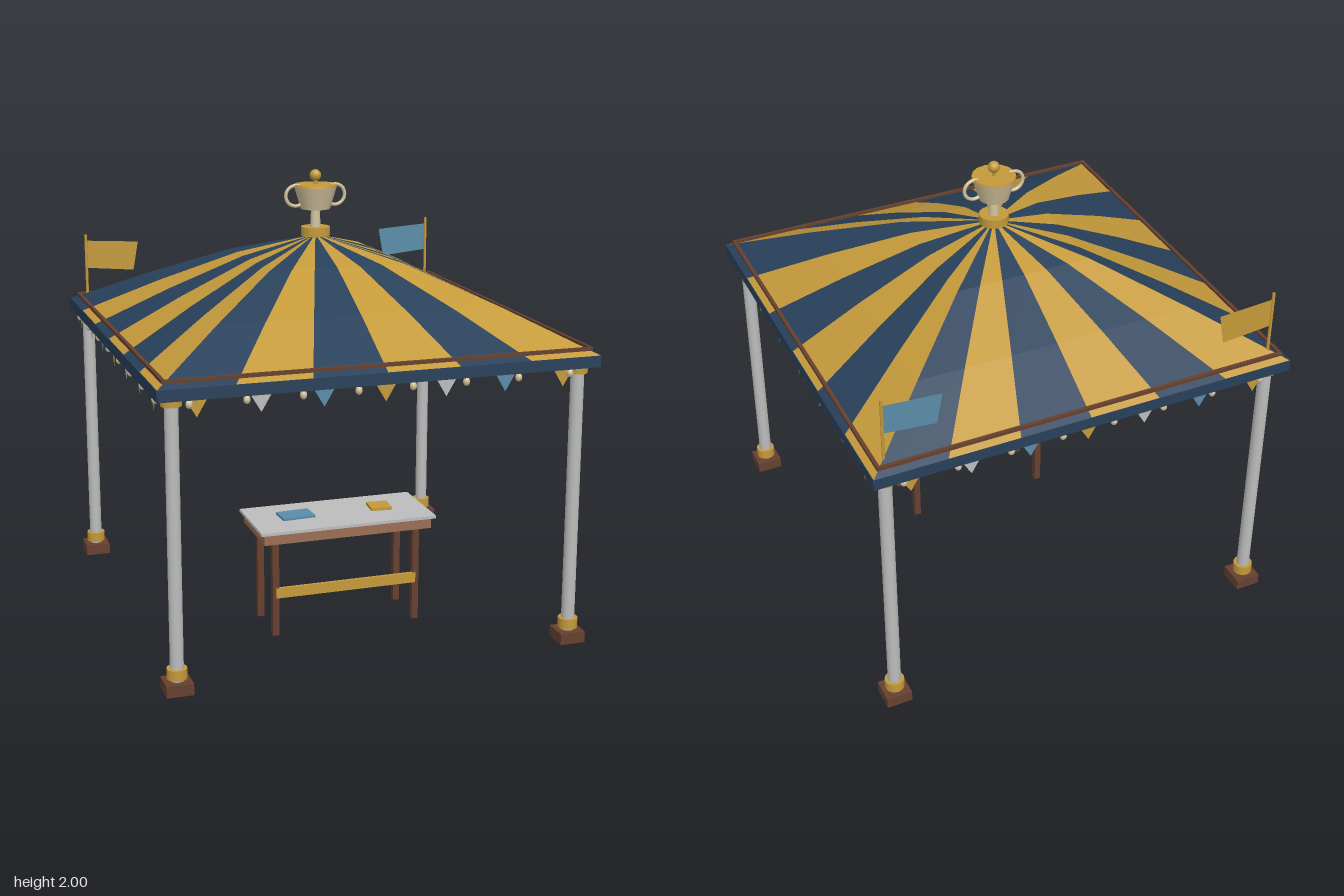
import * as THREE from 'three';

export function createModel() {
  const model = new THREE.Group();
  const mat = (name, color, side = THREE.FrontSide) => {
    const m = new THREE.MeshStandardMaterial({ color, side });
    m.name = name;
    return m;
  };
  const gold = mat('gold', 0xc4993a, THREE.DoubleSide);
  const navy = mat('navy', 0x28405a, THREE.DoubleSide);
  const silver = mat('silver', 0xbcbcbc, THREE.DoubleSide);
  const blue = mat('blue', 0x5a8ca8, THREE.DoubleSide);
  const brown = mat('dark brown', 0x65402f);
  const wood = mat('light wood', 0x9a6e54);
  const cream = mat('cream', 0xd2c29c);

  const add = (name, geo, material, x = 0, y = 0, z = 0, parent = model) => {
    const m = new THREE.Mesh(geo, material);
    m.name = name;
    m.position.set(x, y, z);
    parent.add(m);
    return m;
  };
  // Boxes and cylinders given by their bottom and top heights
  const box = (name, material, w, y0, y1, d, x, z, parent) =>
    add(name, new THREE.BoxGeometry(w, y1 - y0, d), material, x, (y0 + y1) / 2, z, parent);
  const cyl = (name, material, rTop, rBottom, y0, y1, x, z, sides = 16, parent = model) =>
    add(name, new THREE.CylinderGeometry(rTop, rBottom, y1 - y0, sides), material, x, (y0 + y1) / 2, z, parent);
  const plate = (pts) => new THREE.ShapeGeometry(new THREE.Shape(pts.map(([x, y]) => new THREE.Vector2(x, y))));

  // One roof stripe: a strip from eave to apex over the front face
  const profile = [[0.95, 1.295], [0.63, 1.46], [0.31, 1.61], [0, 1.71]];
  const stripe = (a, b) => {
    const pos = [];
    for (let i = 0; i < profile.length - 1; i++) {
      const [r0, y0] = profile[i], [r1, y1] = profile[i + 1];
      const p = [a * r0, y0, r0], q = [b * r0, y0, r0], s = [b * r1, y1, r1], t = [a * r1, y1, r1];
      pos.push(...p, ...q, ...s);
      if (r1 > 0) pos.push(...p, ...s, ...t);
    }
    const g = new THREE.BufferGeometry();
    g.setAttribute('position', new THREE.Float32BufferAttribute(pos, 3));
    g.computeVertexNormals();
    return g;
  };

  const pennant = plate([[-0.046, 0], [0, -0.078], [0.046, 0]]);
  const bead = new THREE.SphereGeometry(0.015, 10, 8);
  bead.scale(1, 1.25, 1);

  // Four identical canopy sides
  for (let k = 0; k < 4; k++) {
    const side = new THREE.Group();
    side.name = 'canopySide';
    side.rotation.y = k * Math.PI / 2;
    model.add(side);
    for (let i = 0; i < 6; i++)
      add('roofStripe', stripe((i - 3) / 3, (i - 2) / 3), i % 2 ? gold : navy, 0, 0, 0, side);
    box('valance', navy, 1.9, 1.245, 1.295, 0.03, 0, 0.938, side);
    box('eaveRail', brown, 1.85, 1.312, 1.327, 0.015, 0, 0.918, side);
    for (let i = -3; i <= 3; i++)
      add('pennant', pennant, [gold, silver, blue][(i + 3) % 3], i * 0.263, 1.247, 0.93, side);
    for (let i = -3.5; i <= 3.5; i++)
      add('bead', bead, cream, i * 0.234, 1.225, 0.93, side);
  }
  box('ceiling', navy, 1.87, 1.25, 1.28, 1.87, 0, 0);

  // Corner posts
  for (const x of [-0.88, 0.88]) for (const z of [-0.88, 0.88]) {
    box('postFoot', brown, 0.115, 0, 0.05, 0.115, x, z);
    cyl('post', silver, 0.029, 0.029, 0.05, 1.25, x, z);
    cyl('postBaseCollar', gold, 0.043, 0.043, 0.06, 0.105, x, z);
    cyl('postTopCollar', gold, 0.043, 0.043, 1.212, 1.25, x, z);
  }

  // Flags on the two back corners
  for (const s of [-1, 1]) {
    cyl('flagPole', gold, 0.007, 0.007, 1.29, 1.615, s * 0.88, -0.88, 8);
    add('flag', plate([[s * 0.88, 1.585], [s * 0.625, 1.568], [s * 0.65, 1.43], [s * 0.88, 1.452]]),
      s < 0 ? gold : blue, 0, 0, -0.88);
  }

  // Trophy finial
  const trophy = new THREE.Group();
  trophy.name = 'trophy';
  model.add(trophy);
  cyl('trophyBase', gold, 0.065, 0.065, 1.705, 1.745, 0, 0, 16, trophy);
  cyl('trophyStem', cream, 0.02, 0.024, 1.745, 1.825, 0, 0, 12, trophy);
  cyl('trophyCup', cream, 0.096, 0.066, 1.825, 1.925, 0, 0, 16, trophy);
  cyl('trophyLid', gold, 0.095, 0.097, 1.925, 1.934, 0, 0, 16, trophy);
  cyl('knobNeck', gold, 0.009, 0.009, 1.93, 1.96, 0, 0, 8, trophy);
  add('knob', new THREE.SphereGeometry(0.026, 12, 10), gold, 0, 1.974, 0, trophy);
  for (const s of [-1, 1])
    add('trophyHandle', new THREE.TorusGeometry(0.046, 0.008, 8, 20), cream, s * 0.092, 1.885, 0, trophy);

  // Table with two books
  const table = new THREE.Group();
  table.name = 'table';
  table.position.z = 0.317;
  model.add(table);
  box('tableTop', silver, 0.81, 0.485, 0.498, 0.36, 0, 0, table);
  box('apron', wood, 0.775, 0.437, 0.485, 0.33, 0, 0, table);
  for (const x of [-0.328, 0.328]) for (const z of [-0.119, 0.119])
    box('tableLeg', brown, 0.03, 0, 0.44, 0.03, x, z, table);
  box('stretcher', gold, 0.655, 0.175, 0.222, 0.014, 0, 0.129, table);
  box('blueBook', blue, 0.15, 0.498, 0.509, 0.1, -0.192, -0.01, table).rotation.y = 0.06;
  box('goldBook', gold, 0.095, 0.498, 0.511, 0.095, 0.203, -0.01, table).rotation.y = -0.08;

  return model;
}
